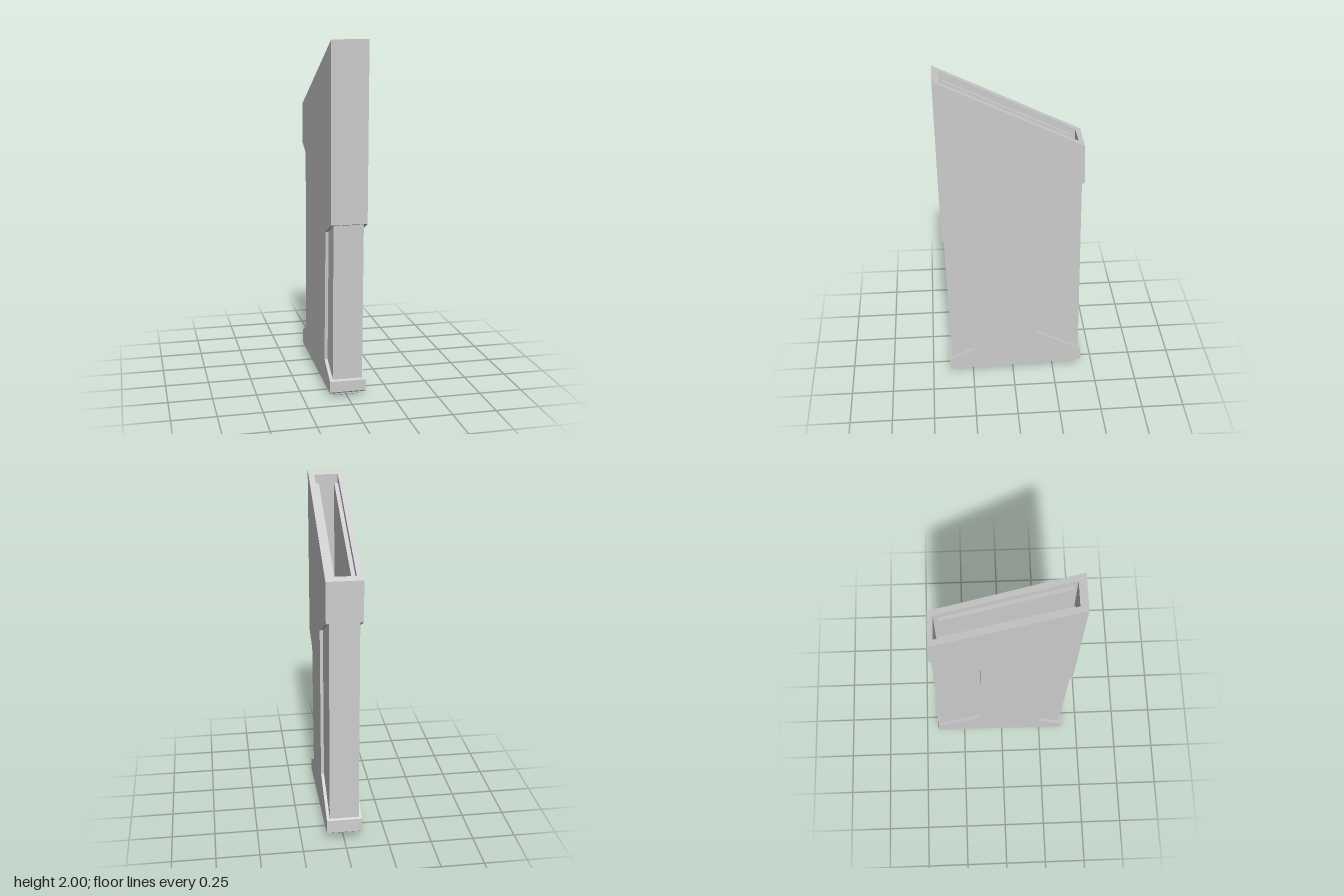
import * as THREE from 'three';

const material = new THREE.MeshStandardMaterial({ color: 0xcccccc, flatShading: true });

// Side profile given as [z, y] points, extruded across x from x0 to x1
function slab(name, points, x0, x1) {
  const shape = new THREE.Shape(points.map(([z, y]) => new THREE.Vector2(z, y)));
  const geometry = new THREE.ExtrudeGeometry(shape, { depth: x1 - x0, bevelEnabled: false });
  geometry.rotateY(-Math.PI / 2);
  geometry.translate(x1, 0, 0);
  const mesh = new THREE.Mesh(geometry, material);
  mesh.name = name;
  return mesh;
}

// Height of the slanted mouth at a given z
const rimY = (z) => 1.786 + 0.503 * z;

export function createModel() {
  const group = new THREE.Group();
  group.name = 'slantedCase';

  const OUTER = 0.103, CORE = 0.085, INNER = 0.068, RIB = 0.045;
  const FRONT = 0.385, BACK = -0.36, FLOOR = 0.9;

  const base = [[0.395, 0.1], [0.395, 0.036], [0.387, 0.028], [-0.413, 0.053], [-0.425, 0.062], [-0.42, 0.14]];
  const topFront = [0.425, 2], topBack = [-0.392, rimY(-0.392)];

  // Cheek outline, notched at the front and back
  const cheek = [
    topFront, [0.412, 1.005], [0.275, 0.94], [0.243, 0.18],
    ...base,
    [-0.14, 0.295], [-0.12, 1.21], [-0.4, 1.355], topBack,
  ];

  // Core outline, with shallow steps under the upper lips and above the base
  const core = [
    topFront, [0.412, 1.005], [0.4, 1.0], [0.38, 0.107],
    ...base,
    [-0.408, 0.147], [-0.387, 1.35], [-0.4, 1.355], topBack,
  ];

  // Middle of the core, open at the mouth
  const middle = [
    ...core,
    [BACK, rimY(BACK)], [BACK, FLOOR], [FRONT, FLOOR], [FRONT, rimY(FRONT)],
  ];
  group.add(slab('hollowCore', middle, -INNER, INNER));

  // Guide rib just below the rim
  const rib = [
    [0.368, rimY(0.368) - 0.04], [0.355, FLOOR],
    [-0.335, FLOOR], [-0.335, rimY(-0.335) - 0.04],
  ];

  for (const [side, s] of [['left', 1], ['right', -1]]) {
    const add = (name, points, a, b) =>
      group.add(slab(side + name, points, Math.min(s * a, s * b), Math.max(s * a, s * b)));
    add('CoreWall', core, INNER, CORE);
    add('Cheek', cheek, CORE, OUTER);
    add('GuideRib', rib, RIB, INNER);
  }

  // Thin plate under the base
  const plate = [[0.355, 0.035], [0.355, 0.006], [0.345, 0], [-0.37, 0.03], [-0.385, 0.038], [-0.385, 0.055]];
  group.add(slab('basePlate', plate, -0.066, 0.066));

  return group;
}
